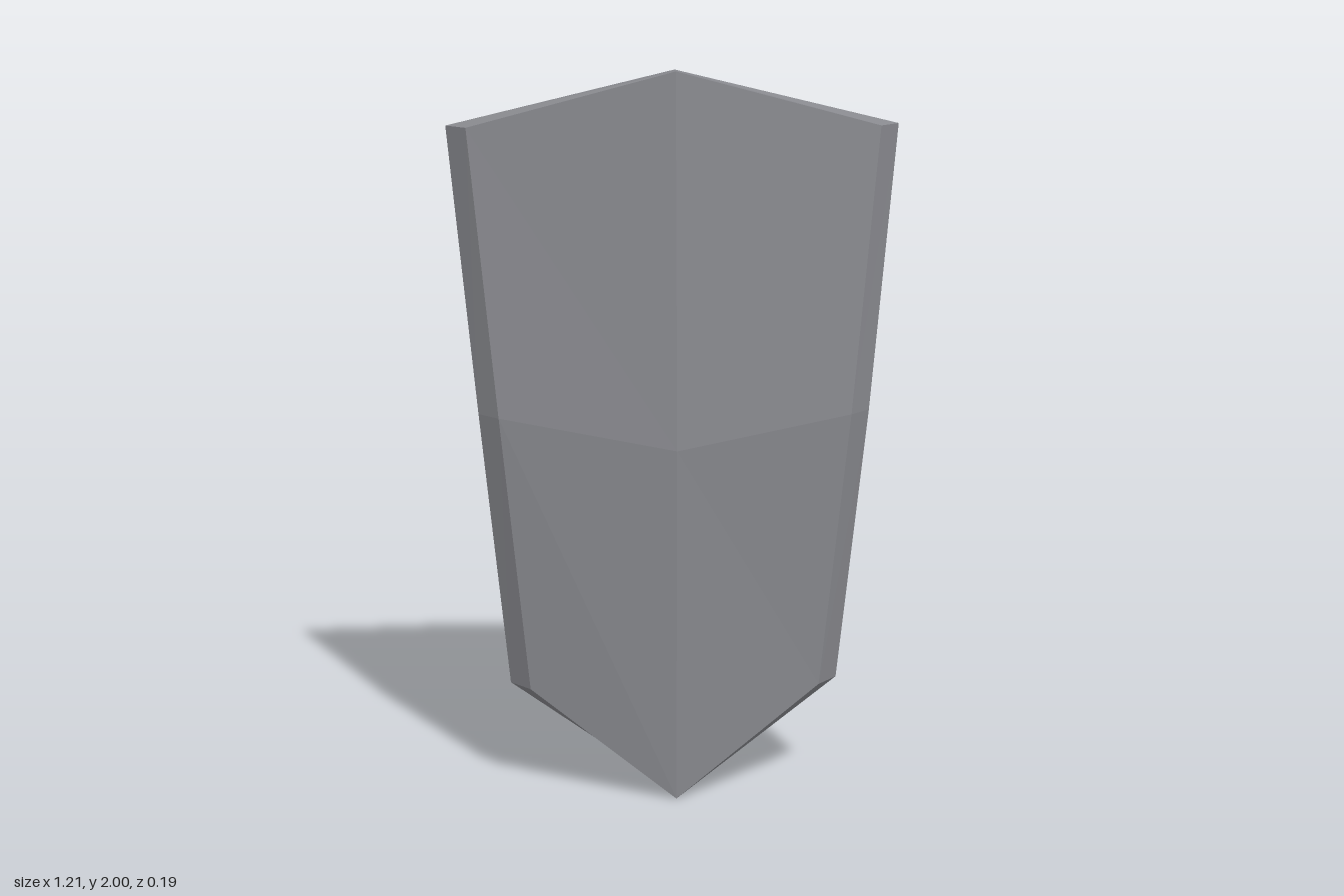
import * as THREE from 'three';

// Rows from top to bottom: centre ridge height/depth, then outer edge half-width/height/depth.
const frontRows = [
  { ridge: [2.0, 0.034], edge: [0.55, 1.85, -0.035] },
  { ridge: [1.0, 0.097], edge: [0.475, 1.08, 0.028] },
  { ridge: [0.0, 0.06], edge: [0.4, 0.305, -0.005] },
];
const backRows = [
  { ridge: [2.0, -0.03], edge: [0.605, 1.85, -0.097] },
  { ridge: [1.0, 0.034], edge: [0.53, 1.08, -0.032] },
  { ridge: [0.0, -0.002], edge: [0.455, 0.305, -0.068] },
];

// A 3 x 3 grid of points, mirrored about the ridge
function gridPoints(rows) {
  return rows.flatMap(({ ridge: [ry, rz], edge: [x, y, z] }) => [
    [-x, y, z], [0, ry, rz], [x, y, z],
  ]);
}

function plateGeometry() {
  const points = [...gridPoints(frontRows), ...gridPoints(backRows)];
  const positions = [];
  const quad = (a, b, c, d) => {
    for (const i of [a, b, c, a, c, d]) positions.push(...points[i]);
  };

  // Front and back faces
  for (let r = 0; r < 2; r++) {
    for (let c = 0; c < 2; c++) {
      const i = r * 3 + c;
      quad(i, i + 3, i + 4, i + 1);
      quad(i + 9, i + 10, i + 13, i + 12);
    }
  }

  // Bevelled rim joining the two outlines
  const outline = [0, 3, 6, 7, 8, 5, 2, 1];
  outline.forEach((a, k) => {
    const b = outline[(k + 1) % outline.length];
    quad(a, a + 9, b + 9, b);
  });

  const geometry = new THREE.BufferGeometry();
  geometry.setAttribute('position', new THREE.Float32BufferAttribute(positions, 3));
  geometry.computeVertexNormals();
  return geometry;
}

export function createModel() {
  const steel = new THREE.MeshStandardMaterial({ color: 0x88898e, flatShading: true });
  steel.name = 'steelGrey';

  const plate = new THREE.Mesh(plateGeometry(), steel);
  plate.name = 'shieldPlate';

  const model = new THREE.Group();
  model.name = 'shield';
  model.add(plate);
  return model;
}
